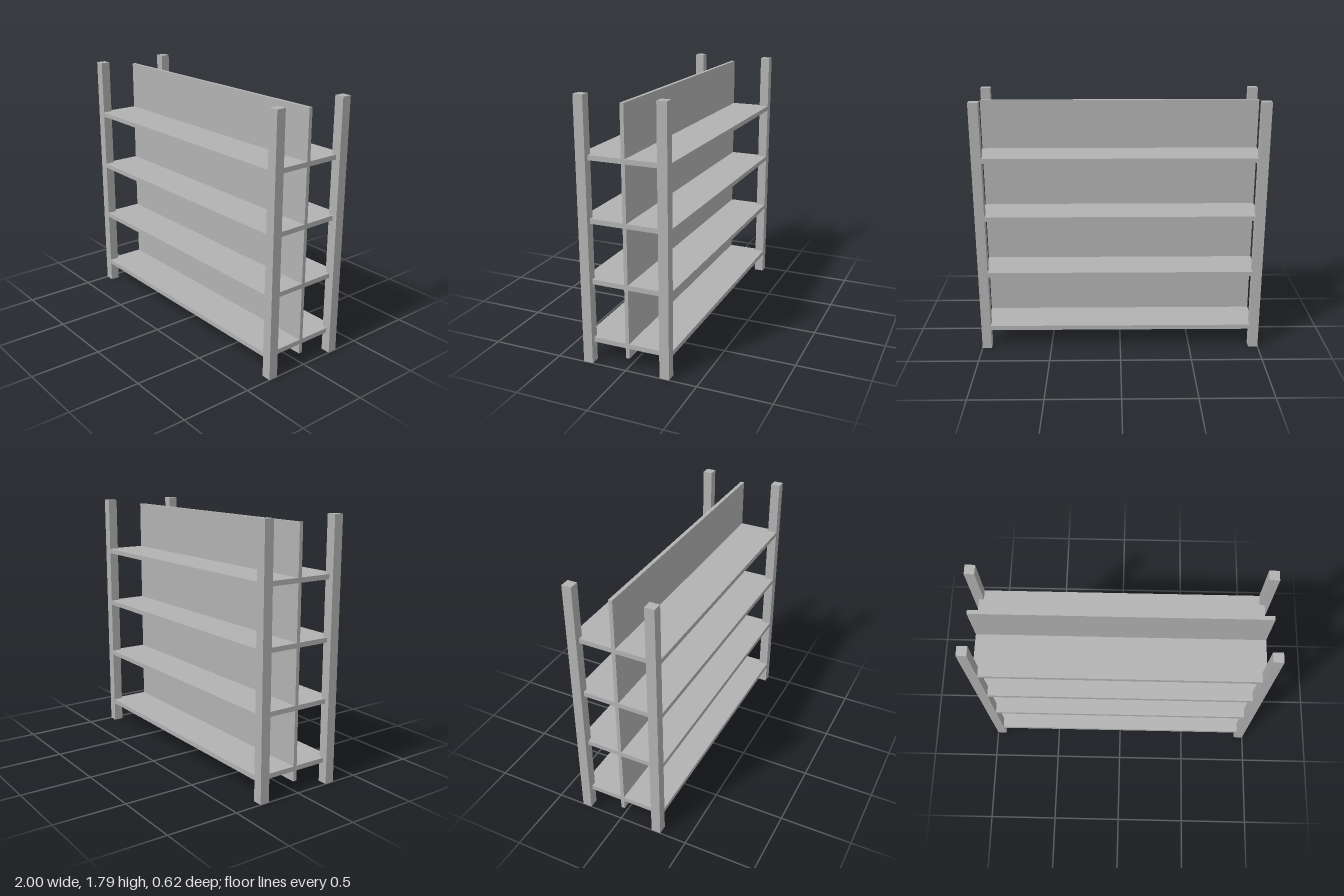
import * as THREE from 'three';

export function createModel() {
  const group = new THREE.Group();
  const grey = new THREE.MeshStandardMaterial({ color: 0xb2b2b2 });
  grey.name = 'grey';

  const W = 2, H = 1.795, D = 0.62, POST = 0.067;
  const innerWidth = W - POST; // boards end at the middle of the posts

  function box(name, w, h, d, x, y, z) {
    const mesh = new THREE.Mesh(new THREE.BoxGeometry(w, h, d), grey);
    mesh.name = name;
    mesh.position.set(x, y, z);
    group.add(mesh);
  }

  // Four corner posts
  for (const sx of [-1, 1]) {
    for (const sz of [-1, 1]) {
      const name = (sz > 0 ? 'front' : 'back') + (sx > 0 ? 'Left' : 'Right') + 'Post';
      box(name, POST, H, POST, sx * (W - POST) / 2, H / 2, sz * (D - POST) / 2);
    }
  }

  // Evenly spaced shelves, a hair inside the post faces
  for (let i = 0; i < 4; i++) {
    box('shelf' + (i + 1), innerWidth, 0.033, D - 0.001, 0, 0.16 + i * 0.4133, 0);
  }

  // Upright dividing panel along the middle
  box('centrePanel', innerWidth - 0.001, 1.685, 0.026, 0, 0.9145, 0);

  return group;
}
